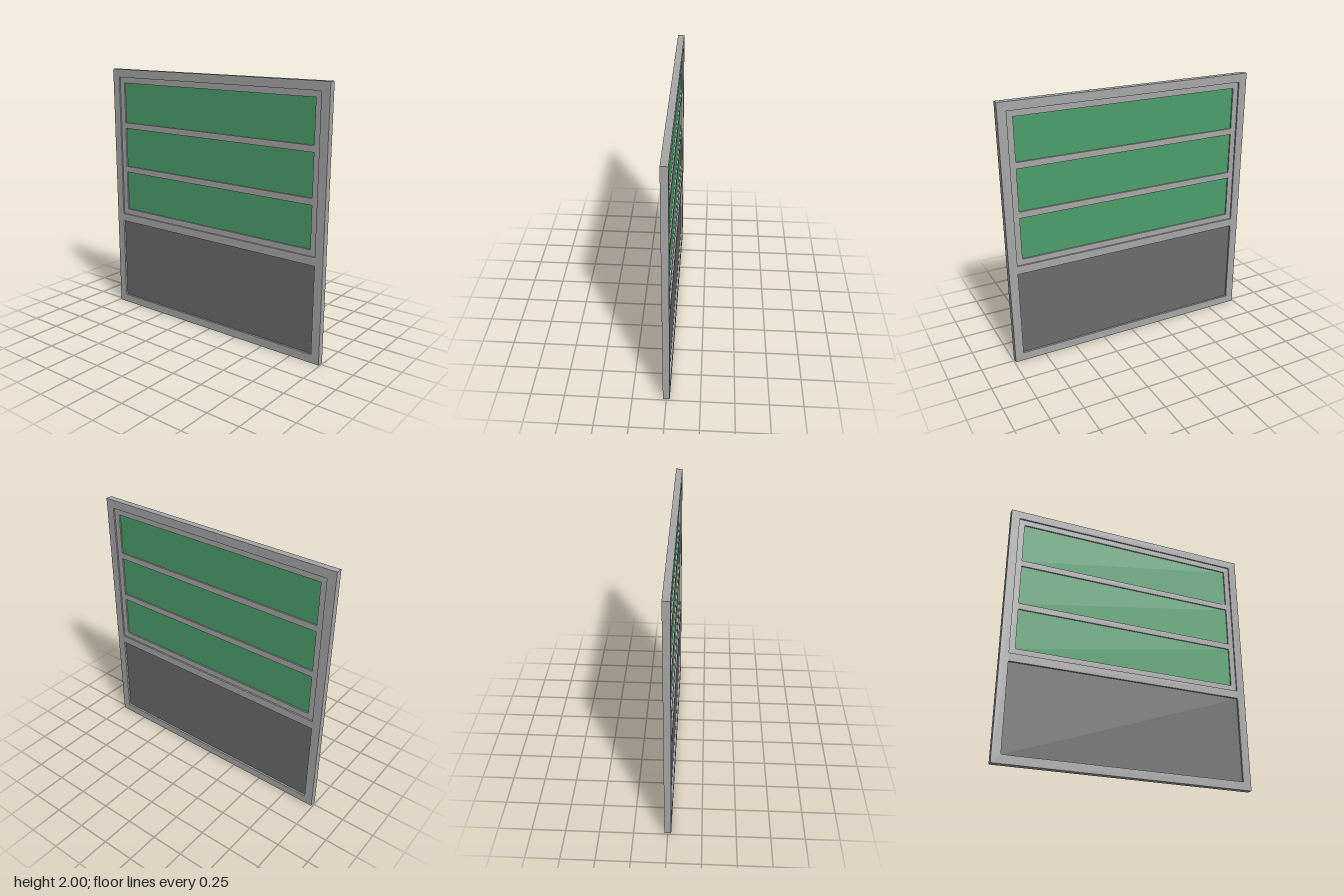
import * as THREE from 'three';

const frameMat = new THREE.MeshStandardMaterial({ name: 'frame grey', color: 0xa6a7a6 });
const glassMat = new THREE.MeshStandardMaterial({ name: 'green glass', color: 0x4c9e6b });
const panelMat = new THREE.MeshStandardMaterial({ name: 'dark panel', color: 0x6b6b6b });

// Rectangle corners as [left, bottom, right, top]
function trace(path, [l, b, r, t]) {
  path.moveTo(l, b);
  path.lineTo(r, b);
  path.lineTo(r, t);
  path.lineTo(l, t);
  path.closePath();
  return path;
}

// Flat slab with rectangular openings, centred on z = 0
function slab(name, rect, openings, depth, material) {
  const shape = trace(new THREE.Shape(), rect);
  for (const o of openings) shape.holes.push(trace(new THREE.Path(), o));
  const geometry = new THREE.ExtrudeGeometry(shape, { depth, bevelEnabled: false });
  geometry.translate(0, 0, -depth / 2);
  const mesh = new THREE.Mesh(geometry, material);
  mesh.name = name;
  return mesh;
}

export function createModel() {
  const group = new THREE.Group();
  group.name = 'glazedPanel';

  const upper = [-0.925, 0.797, 0.925, 1.936];
  const lower = [-0.925, 0.064, 0.925, 0.734];
  const panes = [[0.842, 1.16], [1.208, 1.525], [1.572, 1.891]]
    .map(([b, t]) => [-0.88, b, 0.88, t]);

  // Outer frame with a window opening above and a panel opening below
  group.add(slab('outerFrame', [-0.99, 0, 0.99, 2], [upper, lower], 0.05, frameMat));

  // Recessed sash with two crossbars
  group.add(slab('windowSash', upper, panes, 0.027, frameMat));

  // Glass panes set into the sash
  panes.forEach((p, i) => group.add(slab('glassPane' + (i + 1), p, [], 0.006, glassMat)));

  // Solid lower panel
  group.add(slab('lowerPanel', lower, [], 0.02, panelMat));

  return group;
}
